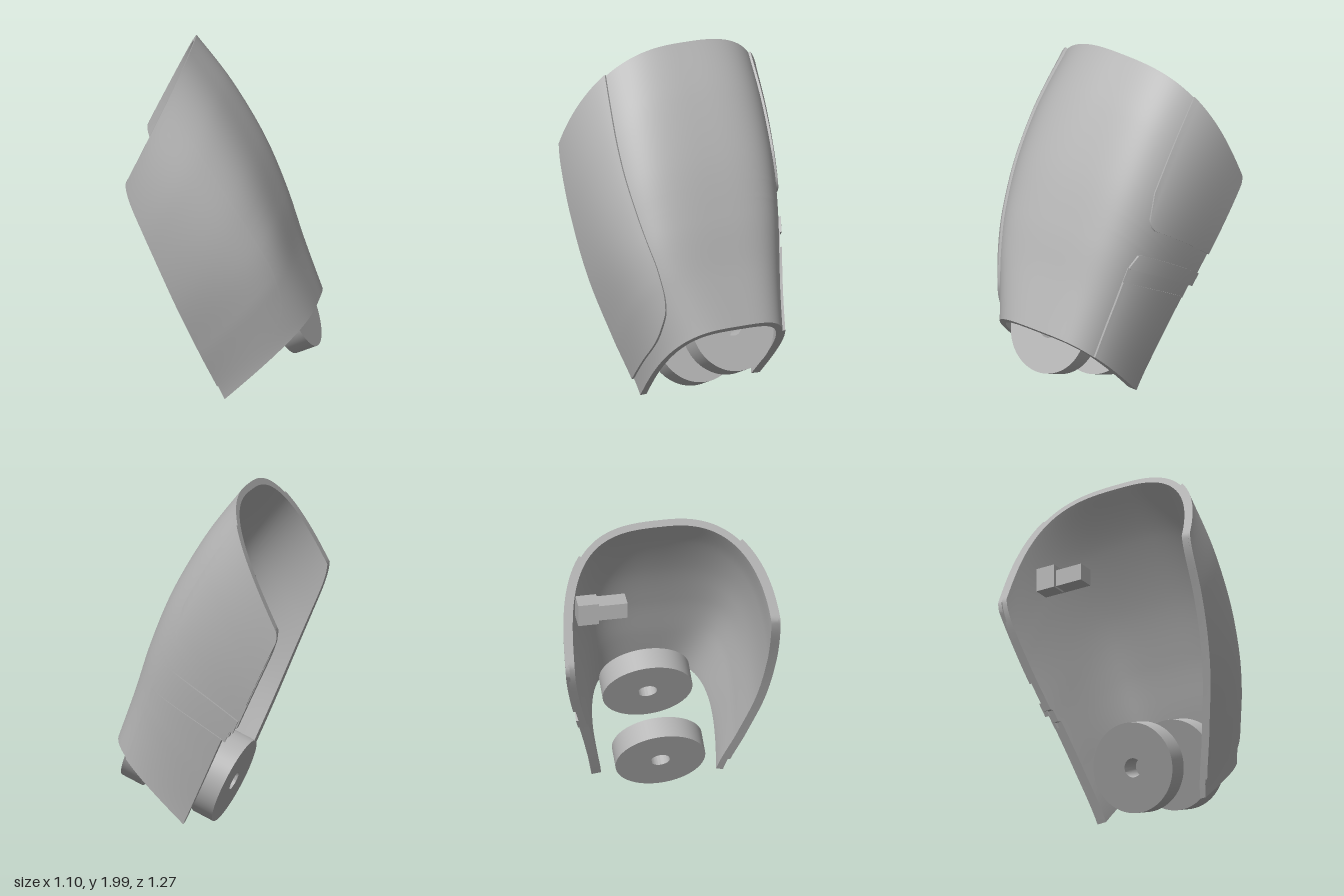
import * as THREE from 'three';
import { toCreasedNormals } from 'three/addons/utils/BufferGeometryUtils.js';

const { lerp } = THREE.MathUtils;
const grey = new THREE.MeshStandardMaterial({ color: 0xb4b4b4 });
grey.name = 'plain grey';

// Smooth curve through points, and a value along the length from even knots
const spline = (pts) => new THREE.SplineCurve(pts.map(([x, y]) => new THREE.Vector2(x, y)));
const along = (vals) => {
  const c = spline(vals.map((v, i) => [i / (vals.length - 1), v]));
  return (u) => c.getPoint(u).y;
};

// Shell rules: ridge line, half widths and squareness of the arch on each side
const ridge = spline([[0.545, 0.51], [0.435, 0.80], [0.33, 1.10], [0.19, 1.42], [0.0, 1.74], [-0.2, 2.0]]);
const widthFront = along([0.425, 0.515, 0.595, 0.625, 0.62]);
const widthBack = along([0.385, 0.445, 0.515, 0.58, 0.62]);
const squareFront = along([3.3, 4.2, 3.5, 2.9, 2.4]);
const squareBack = along([3.7, 3.8, 3.8, 3.4, 3.1]);

// Height of the arch at each open edge (0 = rear line, 1 = ridge)
const edgeFront = (u) => 0.19 * u + 0.04 * u ** 24;
const edgeBack = (u) => (u > 0.52 ? 0.05 * u ** 30 : u > 0.45 ? 0.03 : 0.07);

// Angle round the arch at height q; the back side is mirrored
function angleAt(u, q, back) {
  const n = (back ? squareBack : squareFront)(u);
  const t = Math.atan2(q, (1 - q ** n) ** (1 / n));
  return back ? Math.PI - t : t;
}

// Point in the slanted section plane at u: [distance along the plane, z]
function section(u, t, len) {
  const c = Math.cos(t), s = Math.sin(t);
  const n = (c > 0 ? squareFront : squareBack)(u);
  const w = (c > 0 ? widthFront : widthBack)(u);
  const r = (Math.abs(c) ** n + Math.abs(s) ** n) ** (-1 / n);
  const q = r * s;
  return [q * len, r * c * w * (1 - 0.09 * (1 - u) * (1 - q) ** 2)];
}

// Point on the shell, pushed outward by d within its section plane
function shellPoint(u, t, d) {
  const R = ridge.getPoint(u);
  const bx = lerp(0.06, -0.56, u), by = lerp(0.02, 1.24, u);
  const len = Math.hypot(R.x - bx, R.y - by);
  const [e, z] = section(u, t, len);
  const [e0, z0] = section(u, t - 1e-3, len);
  const [e1, z1] = section(u, t + 1e-3, len);
  const m = Math.hypot(e1 - e0, z1 - z0);
  const k = (e - (d * (z1 - z0)) / m) / len;
  return [lerp(bx, R.x, k), lerp(by, R.y, k), z + (d * (e1 - e0)) / m];
}

// Closed slab over the shell; map(a, b) gives [u, angle]
function slab(name, map, outer, inner, na, nb) {
  const pos = [], idx = [];
  for (const d of [outer, inner])
    for (let i = 0; i <= na; i++)
      for (let j = 0; j <= nb; j++) {
        const [u, t] = map(i / na, j / nb);
        pos.push(...shellPoint(u, t, d));
      }
  const N = (na + 1) * (nb + 1);
  const id = (i, j) => i * (nb + 1) + j;
  const wall = (p, q) => idx.push(q, p, p + N, q, p + N, q + N);
  for (let i = 0; i < na; i++)
    for (let j = 0; j < nb; j++) {
      const a = id(i, j), b = id(i, j + 1), c = id(i + 1, j + 1), d = id(i + 1, j);
      idx.push(a, b, d, b, c, d, a + N, d + N, b + N, b + N, d + N, c + N);
    }
  for (let j = 0; j < nb; j++) {
    wall(id(0, j), id(0, j + 1));
    wall(id(na, j + 1), id(na, j));
  }
  for (let i = 0; i < na; i++) {
    wall(id(i, nb), id(i + 1, nb));
    wall(id(i + 1, 0), id(i, 0));
  }
  const g = new THREE.BufferGeometry();
  g.setAttribute('position', new THREE.Float32BufferAttribute(pos, 3));
  g.setIndex(idx);
  return named(name, toCreasedNormals(g, 0.6));
}

function named(name, geometry) {
  const m = new THREE.Mesh(geometry, grey);
  m.name = name;
  return m;
}

// Rounded-off corner: rises from 0 to r as q nears q1
const corner = (q, q1, r) => {
  const k = Math.max(0, (q - (q1 - r)) / r);
  return r * (1 - Math.sqrt(Math.max(0, 1 - k * k)));
};

// Raised plate on the back side between two lines across the shell
function backPlate(name, q0, q1, low, high, outer) {
  return slab(name, (a, b) => {
    const q = lerp(q1, q0, 1 - (1 - b) ** 2);
    const u = lerp(low(q), high(q), a);
    return [u, angleAt(u, q, true)];
  }, outer, -0.01, 24, 40);
}

// Round pad with a central bore, facing along the tilted cross axis
function pad(name, x, y) {
  const s = new THREE.Shape().absarc(0, 0, 0.26, 0, Math.PI * 2);
  s.holes.push(new THREE.Path().absarc(0, 0, 0.055, 0, Math.PI * 2, true));
  const g = new THREE.ExtrudeGeometry(s, { depth: 0.13, bevelEnabled: false, curveSegments: 48 });
  g.rotateY(Math.PI / 2);
  g.rotateZ(Math.atan2(0.41, 0.91));
  const m = named(name, toCreasedNormals(g, 0.6));
  m.position.set(x, y, -0.005);
  return m;
}

function box(name, size, position) {
  const m = named(name, new THREE.BoxGeometry(...size));
  m.position.set(...position);
  return m;
}

export function createModel() {
  const group = new THREE.Group();
  group.name = 'curvedShell';

  // Main arched shell
  group.add(slab('mainShell', (a, b) => [
    a, lerp(angleAt(a, edgeFront(a), false), angleAt(a, edgeBack(a), true), b),
  ], 0, -0.04, 80, 80));

  // Large raised panel on the front side
  const seam = spline([[0.07, 0.5], [0.075, 0.6], [0.09, 0.7], [0.12, 0.8], [0.15, 0.845], [0.2, 0.875],
    [0.28, 0.885], [0.37, 0.87], [0.5, 0.84], [0.66, 0.81], [0.83, 0.8], [1, 0.8]]);
  group.add(slab('frontSidePanel', (a, b) => {
    const p = seam.getPoint(a);
    const u = Math.min(p.x, 1);
    const t0 = angleAt(u, edgeFront(u), false);
    return [u, lerp(t0, angleAt(u, p.y, false), b)];
  }, 0.014, -0.01, 66, 28));

  // Back side: upper panel, band, recessed groove and lower plate
  group.add(backPlate('backUpperPanel', 0.005, 0.8,
    (q) => 0.65 - 0.16 * q + corner(q, 0.8, 0.12),
    (q) => 1 - corner(0.07 - q, 0.07, 0.05), 0.014));
  group.add(backPlate('backBand', 0.01, 0.78,
    (q) => 0.5 - 0.17 * q, (q) => 0.56 - 0.17 * q - corner(q, 0.78, 0.06), 0.016));
  group.add(backPlate('backGroove', 0.04, 0.78,
    (q) => 0.44 - 0.17 * q, (q) => 0.505 - 0.17 * q, 0.006));
  group.add(backPlate('backLowerPlate', 0.07, 0.78,
    () => 0, (q) => 0.445 - 0.17 * q, 0.016));

  // Round pads at the lower end
  group.add(pad('rearPad', -0.1, 0.243), pad('frontPad', 0.325, 0.427));

  // Small bracket inside the back wall
  group.add(box('bracketArm', [0.1, 0.1, 0.2], [-0.25, 1.46, -0.33]));
  group.add(box('bracketMount', [0.1, 0.14, 0.12], [-0.27, 1.47, -0.46]));
  return group;
}
